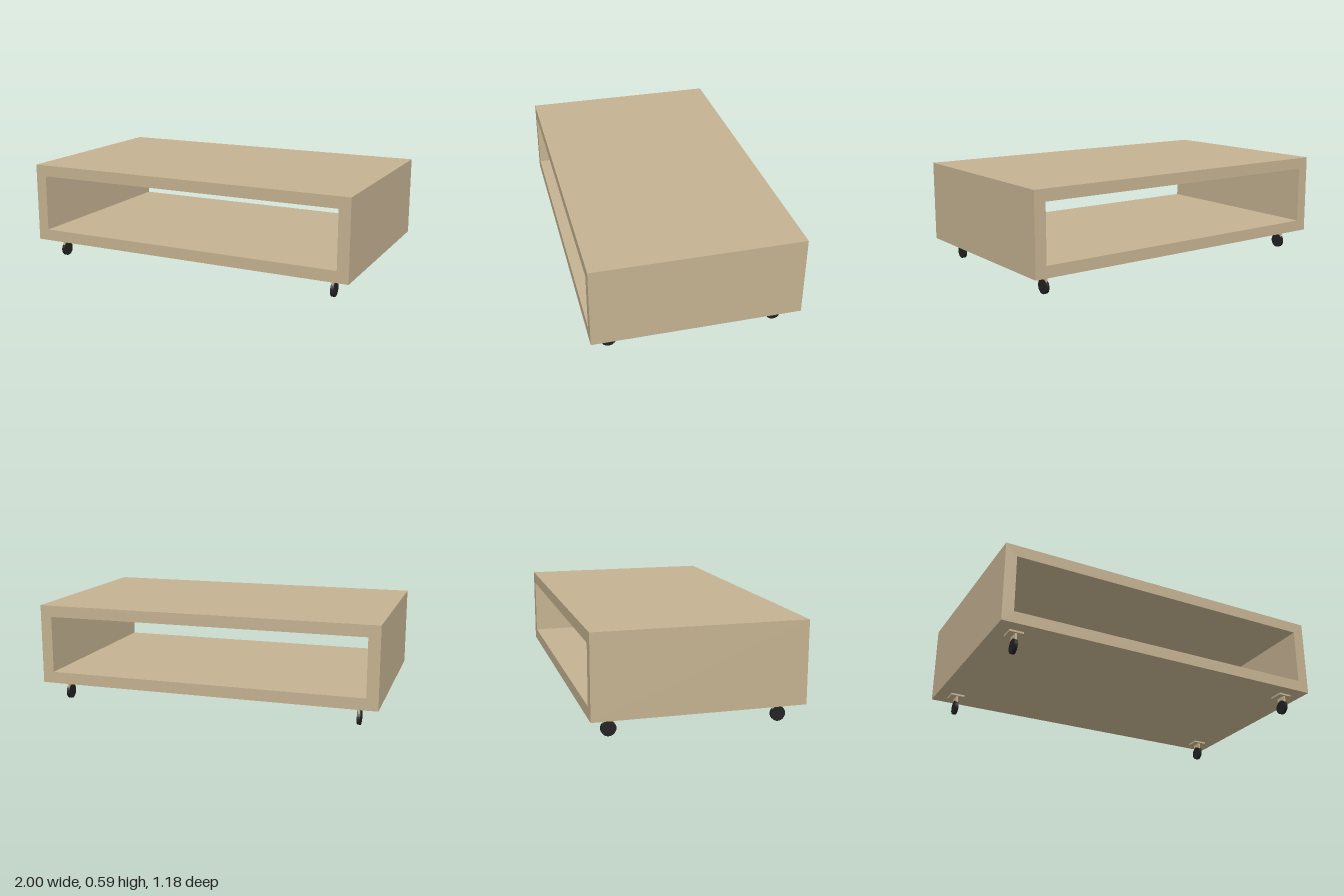
import * as THREE from 'three';

export function createModel() {
  const wood = new THREE.MeshStandardMaterial({ color: 0xc4b291 });
  wood.name = 'wood';
  const rubber = new THREE.MeshStandardMaterial({ color: 0x222222 });
  rubber.name = 'rubber';

  const group = new THREE.Group();
  group.name = 'rollingCoffeeTable';

  const add = (parent, name, geometry, material, x, y, z) => {
    const mesh = new THREE.Mesh(geometry, material);
    mesh.name = name;
    mesh.position.set(x, y, z);
    parent.add(mesh);
    return mesh;
  };

  // Open box frame: rectangle with a rectangular hole, extruded front to back
  const rect = (Type, halfWidth, bottom, top) => new Type([
    new THREE.Vector2(-halfWidth, bottom),
    new THREE.Vector2(halfWidth, bottom),
    new THREE.Vector2(halfWidth, top),
    new THREE.Vector2(-halfWidth, top),
  ]);
  const depth = 1.184;
  const outline = rect(THREE.Shape, 1, 0.118, 0.586);
  outline.holes.push(rect(THREE.Path, 0.933, 0.185, 0.519));
  const frame = new THREE.ExtrudeGeometry(outline, { depth, bevelEnabled: false });
  add(group, 'tableFrame', frame, wood, 0, 0, -depth / 2);

  // Casters: mounting plate, thin bracket and wheel at each corner
  const plate = new THREE.BoxGeometry(0.082, 0.011, 0.082);
  const bracket = new THREE.BoxGeometry(0.011, 0.07, 0.062);
  const wheel = new THREE.CylinderGeometry(0.042, 0.042, 0.019, 32).rotateZ(Math.PI / 2);
  for (const x of [-0.883, 0.883]) {
    for (const z of [-0.476, 0.476]) {
      const caster = new THREE.Group();
      caster.name = (z > 0 ? 'front' : 'back') + (x > 0 ? 'Left' : 'Right') + 'Caster';
      caster.position.set(x, 0, z);
      add(caster, 'mountingPlate', plate, wood, 0, 0.1125, 0);
      add(caster, 'bracket', bracket, wood, 0, 0.0725, 0);
      add(caster, 'wheel', wheel, rubber, 0, 0.042, 0);
      group.add(caster);
    }
  }
  return group;
}
